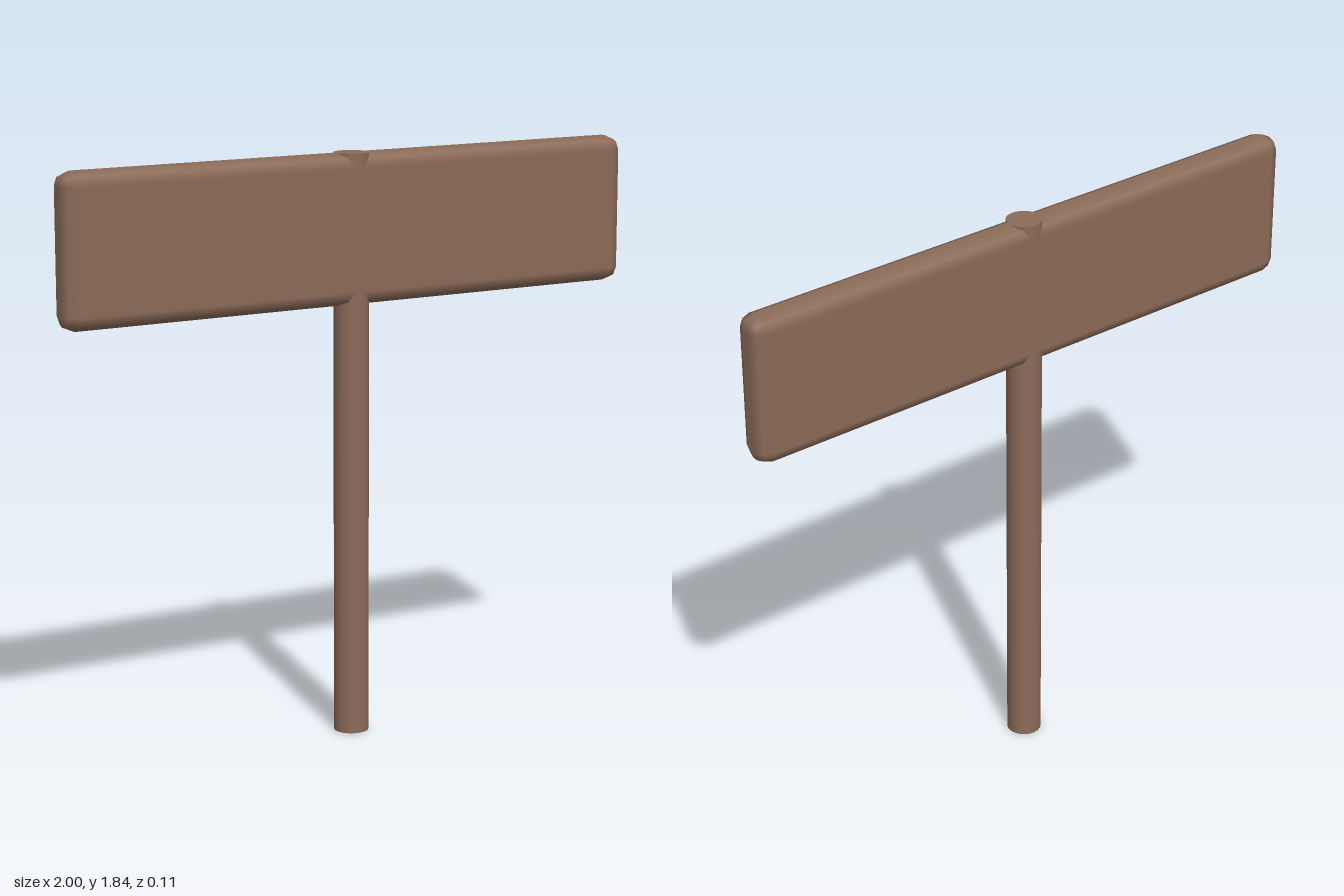
import * as THREE from 'three';
import { RoundedBoxGeometry } from 'three/addons/geometries/RoundedBoxGeometry.js';

const TOP = 1.84;
const BOARD_HEIGHT = 0.47;
const THICKNESS = 0.11;

export function createModel() {
  const group = new THREE.Group();
  group.name = 'signpost';
  const wood = new THREE.MeshStandardMaterial({ color: 0x8b6b58 });

  // Round post, running up through the board to its top edge
  const post = new THREE.Mesh(
    new THREE.CylinderGeometry(THICKNESS / 2, THICKNESS / 2, TOP, 24), wood);
  post.name = 'post';
  post.position.y = TOP / 2;
  group.add(post);

  // Blank board with softly bevelled edges
  const board = new THREE.Mesh(
    new RoundedBoxGeometry(2, BOARD_HEIGHT, THICKNESS, 1, 0.045), wood);
  board.name = 'signBoard';
  board.position.y = TOP - BOARD_HEIGHT / 2;
  group.add(board);

  return group;
}
